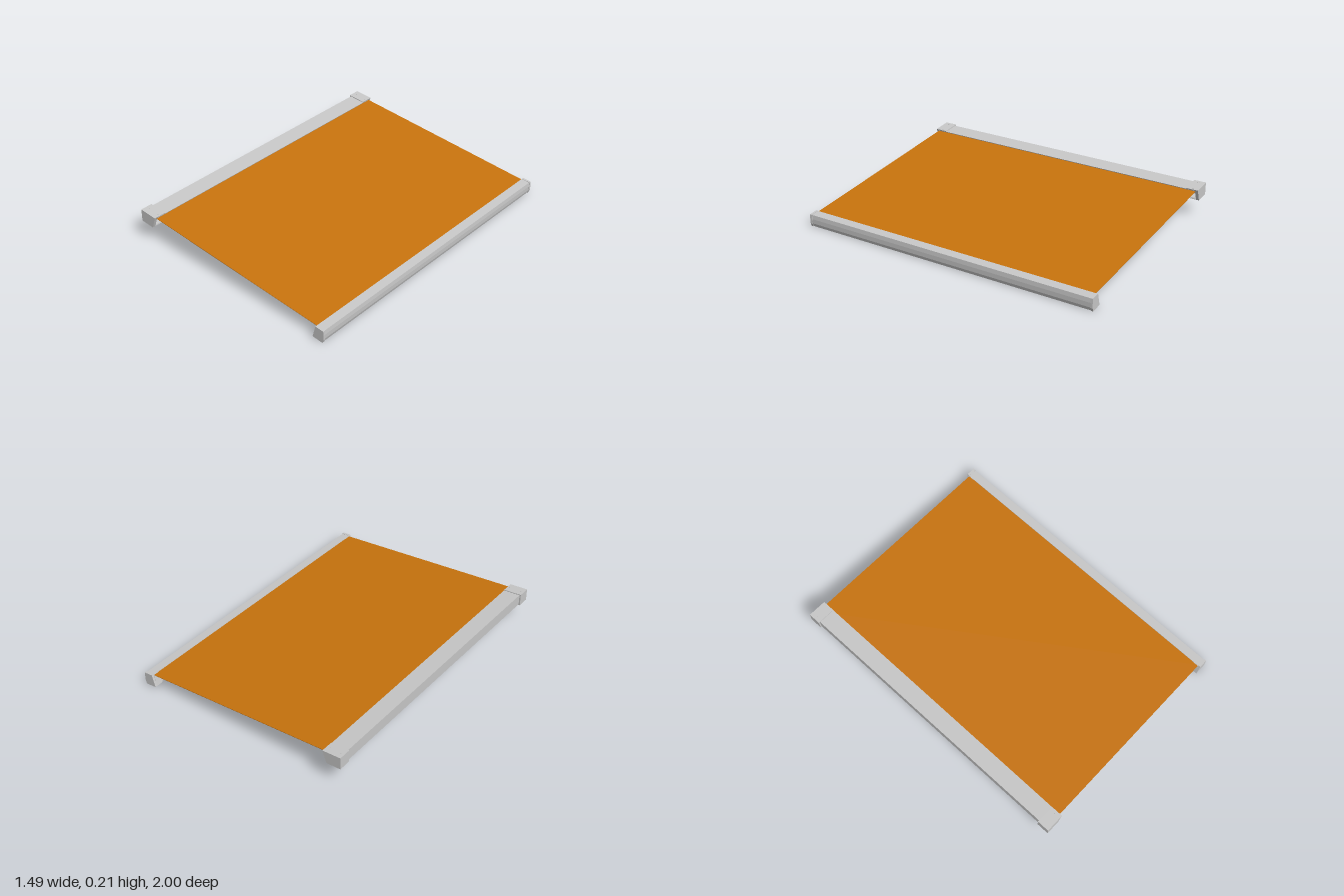
import * as THREE from 'three';
import { RoundedBoxGeometry } from 'three/addons/geometries/RoundedBoxGeometry.js';

const metal = new THREE.MeshStandardMaterial({ color: 0xc8c8c8 });
metal.name = 'light grey metal';
const cloth = new THREE.MeshStandardMaterial({ color: 0xc8730d });
cloth.name = 'orange fabric';

// Height of the sloping arm plane at x
const armY = (x) => 0.11 - 0.0846 * x;
const tilt = Math.atan(-0.0846);
const up = new THREE.Vector3(-Math.sin(tilt), Math.cos(tilt), 0);

function add(parent, name, geometry, material = metal) {
  const mesh = new THREE.Mesh(geometry, material);
  mesh.name = name;
  parent.add(mesh);
  return mesh;
}

// Extrude an x/y outline along z from z0 to z1
function extrude(points, z0, z1) {
  const shape = new THREE.Shape(points.map(([x, y]) => new THREE.Vector2(x, y)));
  return new THREE.ExtrudeGeometry(shape, { depth: z1 - z0, bevelEnabled: false }).translate(0, 0, z0);
}

// Rounded beam between two points, its top facing along the arm plane normal
function beam(parent, name, a, b, height, width) {
  const dir = b.clone().sub(a);
  const mesh = add(parent, name, new RoundedBoxGeometry(dir.length(), height, width, 3, 0.01));
  dir.normalize();
  const side = new THREE.Vector3().crossVectors(dir, up).normalize();
  mesh.quaternion.setFromRotationMatrix(
    new THREE.Matrix4().makeBasis(dir, new THREE.Vector3().crossVectors(side, dir), side));
  mesh.position.copy(a).add(b).multiplyScalar(0.5);
}

// Pivot cylinder standing on the arm plane
function pin(parent, name, p, radius, height) {
  const mesh = add(parent, name, new THREE.CylinderGeometry(radius, radius, height, 20));
  mesh.position.copy(p);
  mesh.rotation.z = tilt;
}

const point = (x, z) => new THREE.Vector3(x, armY(x), z);

export function createModel() {
  const model = new THREE.Group();
  model.name = 'awning';

  // Cassette: open channel with roller and support bar
  const cassette = new THREE.Group();
  cassette.name = 'cassette';
  model.add(cassette);
  add(cassette, 'cassetteShell', extrude([
    [-0.735, 0.209], [-0.622, 0.2], [-0.624, 0.195], [-0.727, 0.203],
    [-0.727, 0.143], [-0.655, 0.137], [-0.652, 0.13], [-0.735, 0.136],
  ], -0.98, 0.98));
  const roller = add(cassette, 'rollerTube', new THREE.CylinderGeometry(0.024, 0.024, 1.96, 24));
  roller.rotation.x = Math.PI / 2;
  roller.position.set(-0.695, 0.174, 0);

  // Fabric sheet
  const fabric = add(model, 'fabric', extrude([
    [-0.692, 0.2], [0.69, 0.084], [0.69, 0.081], [-0.692, 0.197],
  ], -0.983, 0.983), cloth);
  fabric.position.y = 0.0005;

  // Front bar with a turned-in lower edge
  add(model, 'frontBar', extrude([
    [0.684, 0.088], [0.741, 0.083], [0.743, 0.055], [0.741, 0.025],
    [0.734, 0.004], [0.672, 0.01], [0.676, 0.04],
  ], -0.985, 0.985));

  for (const s of [1, -1]) {
    const range = (a, b) => (s > 0 ? [a, b] : [-b, -a]);

    // Cassette end cap: closed plate and sleeve
    const cap = new THREE.Group();
    cap.name = 'cassetteEndCap';
    model.add(cap);
    add(cap, 'endPlate', extrude([
      [-0.745, 0.215], [-0.622, 0.205], [-0.65, 0.127], [-0.745, 0.134],
    ], ...range(0.98, 1)));
    add(cap, 'capSleeve', extrude([
      [-0.745, 0.215], [-0.622, 0.205], [-0.624, 0.199], [-0.736, 0.208],
      [-0.736, 0.14], [-0.651, 0.134], [-0.65, 0.127], [-0.745, 0.134],
    ], ...range(0.92, 0.98)));
    for (const x of [-0.72, -0.64]) {
      const screw = add(cap, 'screw', new THREE.CylinderGeometry(0.005, 0.005, 0.004, 12));
      screw.position.set(x, 0.215 - (x + 0.745) * 0.0813, s * 0.96);
      screw.rotation.z = tilt;
    }

    // Front bar end cap
    add(model, 'barEndCap', extrude([
      [0.686, 0.09], [0.744, 0.085], [0.745, 0.055], [0.744, 0.024], [0.736, 0.002], [0.664, 0.01],
    ], ...range(0.985, 1)));
    add(model, 'barCapLip', extrude([
      [0.682, 0.086], [0.69, 0.086], [0.68, 0.01], [0.664, 0.01],
    ], ...range(0.94, 0.985)));

    // Folding arm, elbow bent towards the middle
    const arm = new THREE.Group();
    arm.name = 'foldingArm';
    model.add(arm);
    const shoulder = point(-0.665, s * 0.81);
    const elbow = point(0, s * 0.51);
    const wrist = point(0.665, s * 0.62);
    const toward = (a, b, d) => a.clone().add(b.clone().sub(a).setLength(d));
    beam(arm, 'upperArm', toward(shoulder, elbow, 0.022), toward(elbow, shoulder, 0.018), 0.038, 0.032);
    beam(arm, 'forearm', toward(elbow, wrist, 0.014), wrist, 0.038, 0.028);

    // Elbow knuckles and pin
    pin(arm, 'elbowPin', elbow, 0.009, 0.036);
    for (const h of [-0.01, 0.01]) {
      pin(arm, 'elbowKnuckle', elbow.clone().addScaledVector(up, h), 0.014, 0.008);
    }

    // Shoulder bracket: two plates around a pivot
    pin(arm, 'shoulderPin', shoulder, 0.015, 0.046);
    for (const h of [-0.022, 0.022]) {
      const plate = add(arm, 'shoulderPlate', new THREE.BoxGeometry(0.06, 0.005, 0.05));
      plate.position.copy(shoulder).addScaledVector(up, h);
      plate.position.x -= 0.022;
      plate.rotation.z = tilt;
    }
    const foot = add(arm, 'shoulderFoot', new THREE.BoxGeometry(0.012, 0.05, 0.08));
    foot.position.set(-0.715, armY(-0.715), s * 0.81);
    foot.rotation.z = tilt;

    // Wrist joint on the front bar
    const wristJoint = add(arm, 'wristJoint', new THREE.CylinderGeometry(0.015, 0.015, 0.05, 20));
    wristJoint.rotation.x = Math.PI / 2;
    wristJoint.position.set(0.672, armY(0.672), s * 0.62);
  }
  return model;
}
